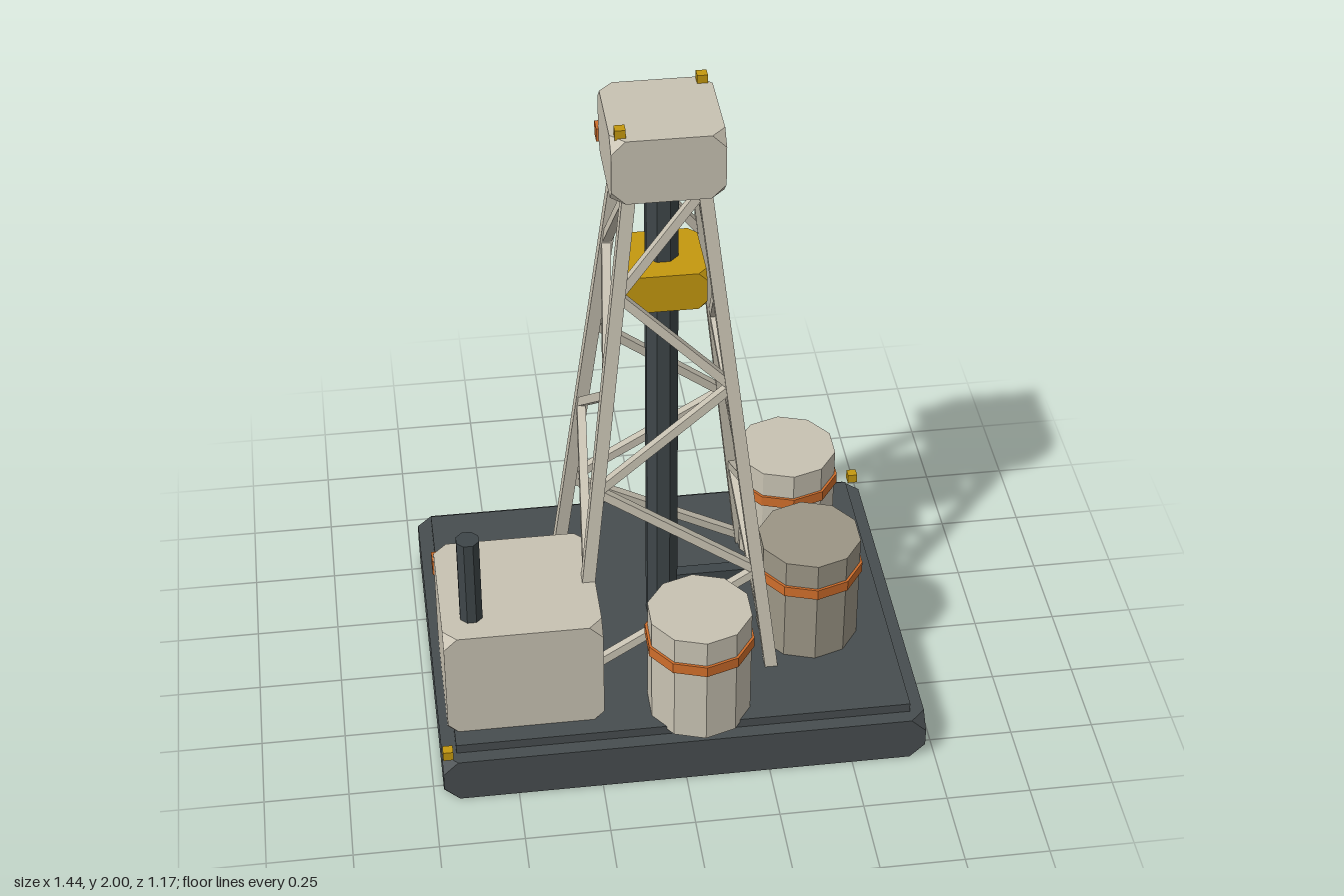
import * as THREE from 'three';
import { ConvexGeometry } from 'three/addons/geometries/ConvexGeometry.js';

const paint = (name, color) => {
  const m = new THREE.MeshStandardMaterial({ color, flatShading: true });
  m.name = name;
  return m;
};

export function createModel() {
  const model = new THREE.Group();
  const cream = paint('cream', 0xc8c2b2);
  const shadeCream = paint('darkCream', 0x9b9585);
  const deckGrey = paint('deckGrey', 0x474d4f);
  const steel = paint('darkSteel', 0x3e4649);
  const orange = paint('orange', 0xce6d2b);
  const yellow = paint('yellow', 0xc4980f);

  const add = (name, geometry, material, parent = model) => {
    const mesh = new THREE.Mesh(geometry, material);
    mesh.name = name;
    parent.add(mesh);
    return mesh;
  };
  const group = (name) => {
    const g = new THREE.Group();
    g.name = name;
    model.add(g);
    return g;
  };

  // Box given by its min and max corners
  const box = (name, [x0, y0, z0], [x1, y1, z1], material, parent) => {
    const mesh = add(name, new THREE.BoxGeometry(x1 - x0, y1 - y0, z1 - z0), material, parent);
    mesh.position.set((x0 + x1) / 2, (y0 + y1) / 2, (z0 + z1) / 2);
    return mesh;
  };

  // Box whose eight corners are sliced off by c
  const cutBox = (name, min, max, c, material) => {
    const points = [];
    for (let i = 0; i < 8; i++) {
      const high = [i & 1, i & 2, i & 4];
      for (let axis = 0; axis < 3; axis++) {
        const p = high.map((h, a) => (h ? max[a] : min[a]));
        p[axis] += high[axis] ? -c : c;
        points.push(new THREE.Vector3(...p));
      }
    }
    return add(name, new ConvexGeometry(points), material);
  };

  // Upright prism between two heights
  const prism = (name, r, sides, x, z, y0, y1, material, parent) => {
    const mesh = add(name, new THREE.CylinderGeometry(r, r, y1 - y0, sides), material, parent);
    mesh.position.set(x, (y0 + y1) / 2, z);
    return mesh;
  };

  // Square bar from a to b
  const up = new THREE.Vector3(0, 1, 0);
  const bar = (name, a, b, t, parent) => {
    const d = b.clone().sub(a);
    const mesh = add(name, new THREE.BoxGeometry(t, d.length(), t), cream, parent);
    mesh.position.copy(a).add(b).multiplyScalar(0.5);
    mesh.quaternion.setFromUnitVectors(up, d.normalize());
  };

  // Platform
  cutBox('platform', [-0.72, 0, -0.585], [0.72, 0.145, 0.562], 0.045, deckGrey);
  box('deckPlate', [-0.677, 0.14, -0.545], [0.677, 0.175, 0.52], deckGrey);

  // Machine house with rear band and exhaust
  cutBox('machineHouse', [-0.695, 0.165, 0.03], [-0.232, 0.535, 0.462], 0.04, cream);
  box('houseBand', [-0.7, 0.435, 0.005], [-0.227, 0.488, 0.05], orange);
  prism('exhaust', 0.035, 8, -0.606, 0.362, 0.5, 0.822, steel).rotation.y = Math.PI / 8;

  // Storage tanks
  const tanks = group('tanks');
  for (const [x, z, material] of [[0.055, 0.42, cream], [0.43, 0.128, shadeCream], [0.43, -0.303, cream]]) {
    prism('tank', 0.155, 10, x, z, 0.165, 0.535, material, tanks);
    prism('tankBand', 0.163, 10, x, z, 0.415, 0.45, orange, tanks);
  }

  // Pipes between mast and tanks
  box('mainPipe', [0.02, 0.2, -0.12], [0.485, 0.24, -0.08], steel);
  box('tankPipe', [0.407, 0.2, -0.2], [0.452, 0.24, 0.02], steel);

  // Lattice tower: four tapering legs, zigzag braces on each side
  const tower = group('tower');
  const midZ = -0.01;
  const corners = [[-1, 1], [1, 1], [1, -1], [-1, -1]];
  const onLeg = (i, y) => {
    const r = 0.105 + (1.78 - y) * 0.1174;
    const [sx, sz] = corners[i % 4];
    return new THREE.Vector3(sx * r, y, midZ + sz * r);
  };
  const level = (k) => 0.2 + 0.316 * k;
  for (let i = 0; i < 4; i++) {
    bar('leg', onLeg(i, 0.165), onLeg(i, 1.8), 0.038, tower);
    for (let k = 0; k < 5; k++) {
      const odd = k % 2;
      bar('brace', onLeg(i + odd, level(k)), onLeg(i + 1 - odd, level(k + 1)), 0.026, tower);
    }
  }

  // Central mast and travelling block
  prism('mast', 0.05, 8, 0, midZ, 0.16, 1.8, steel).rotation.y = Math.PI / 8;
  cutBox('travellingBlock', [-0.115, 1.38, -0.125], [0.115, 1.5, 0.107], 0.025, yellow);

  // Crown with rear band
  cutBox('crown', [-0.158, 1.775, -0.165], [0.158, 1.975, 0.148], 0.04, cream);
  box('crownBand', [-0.165, 1.795, -0.197], [0.165, 1.836, -0.15], orange);

  // Warning lights on opposite corners of crown and platform
  for (const [x, y, z] of [[-0.13, 1.985, 0.115], [0.13, 1.985, -0.142], [0.703, 0.175, -0.573], [-0.703, 0.175, 0.548]]) {
    const s = 0.015;
    box('warningLight', [x - s, y - s, z - s], [x + s, y + s, z + s], yellow);
  }
  return model;
}
